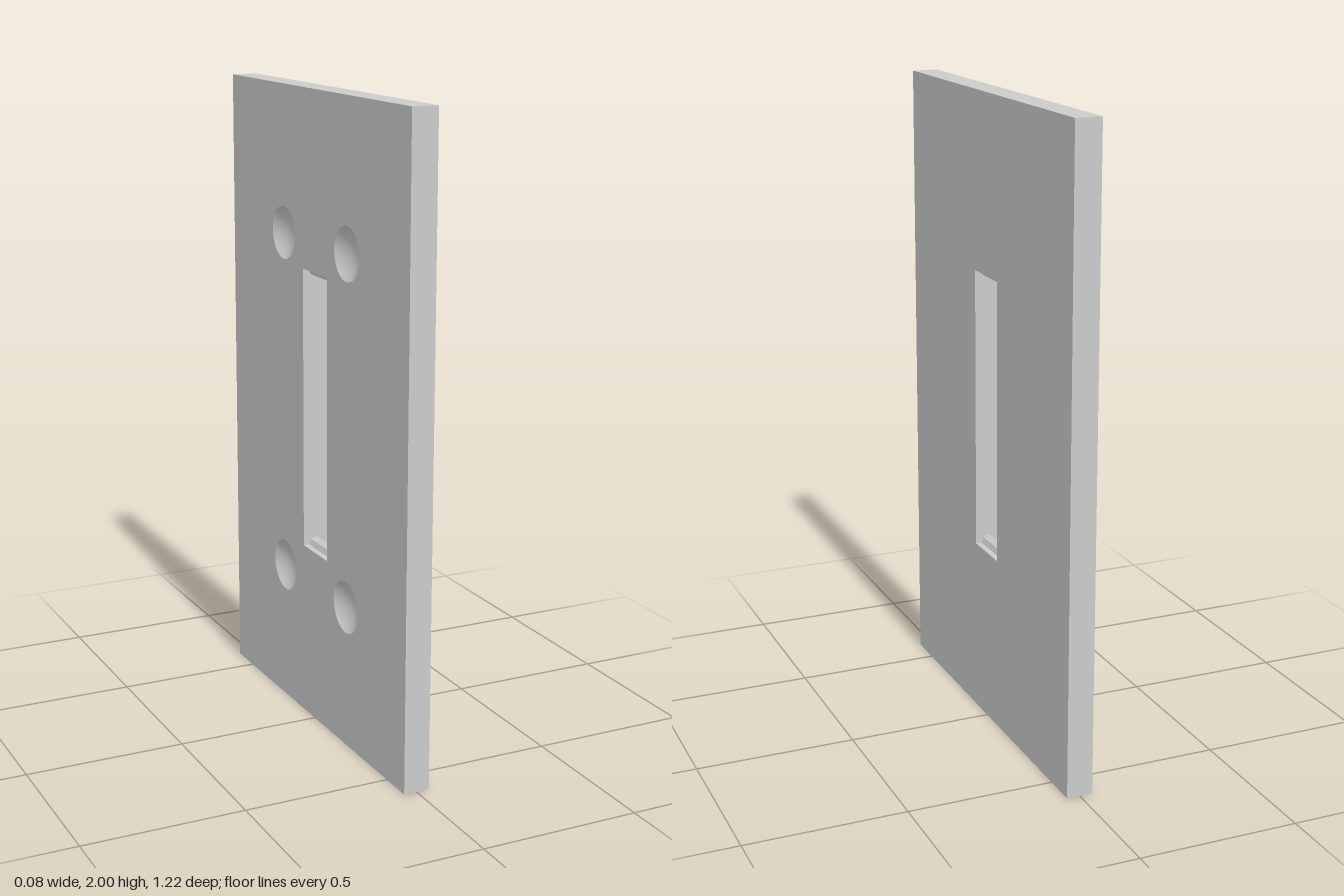
import * as THREE from 'three';

const T = 0.041, W = 0.61, H = 2;           // half thickness, half width, height
const SLOT = { u0: -0.09, u1: 0.08, v0: 0.56, v1: 1.45 };
const DIMPLE = { u: 0.22, v: [0.452, 1.542], r: 0.083, depth: 0.03 };

const rect = (u0, v0, u1, v1) => [[u0, v0], [u1, v0], [u1, v1], [u0, v1]];
const toPoints = (r) => r.map(([u, v]) => new THREE.Vector2(u, v));

// Flat-shaded wall through a row of rectangles, each { w, r }, along the thickness
function rectWall(sections, inward) {
  const pos = [];
  for (let s = 0; s < sections.length - 1; s++) {
    const a = sections[s], b = sections[s + 1];
    for (let i = 0; i < 4; i++) {
      const j = (i + 1) % 4;
      const A = [...a.r[i], a.w], B = [...a.r[j], a.w], C = [...b.r[j], b.w], D = [...b.r[i], b.w];
      for (const p of inward ? [A, C, B, A, D, C] : [A, B, C, A, C, D]) pos.push(...p);
    }
  }
  const g = new THREE.BufferGeometry();
  g.setAttribute('position', new THREE.Float32BufferAttribute(pos, 3));
  g.computeVertexNormals();
  return g;
}

// Plate face with the slot, and optionally the round recess openings
function faceGeometry(flip, withDimples) {
  const shape = new THREE.Shape(toPoints(rect(-W, 0, W, H)));
  const [u0, u1] = flip ? [-SLOT.u1, -SLOT.u0] : [SLOT.u0, SLOT.u1];
  shape.holes.push(new THREE.Path(toPoints(rect(u0, SLOT.v0, u1, SLOT.v1))));
  if (withDimples) {
    for (const v of DIMPLE.v) for (const s of [-1, 1]) {
      shape.holes.push(new THREE.Path().absarc(s * DIMPLE.u, v, DIMPLE.r, 0, Math.PI * 2, true));
    }
  }
  return new THREE.ShapeGeometry(shape, 20);
}

export function createModel() {
  const mat = new THREE.MeshStandardMaterial({ color: 0xcccccc });
  const open = new THREE.MeshStandardMaterial({ color: 0xcccccc, side: THREE.DoubleSide });
  const plate = new THREE.Group();
  plate.name = 'wallPlate';
  const add = (name, geo, m = mat) => {
    const mesh = new THREE.Mesh(geo, m);
    mesh.name = name;
    plate.add(mesh);
    return mesh;
  };

  // Two broad faces
  add('plainFace', faceGeometry(false, false)).position.z = T;
  const back = add('recessedFace', faceGeometry(true, true));
  back.rotation.y = Math.PI;
  back.position.z = -T;

  // Outer edge
  const outer = rect(-W, 0, W, H);
  add('outerEdge', rectWall([{ w: -T, r: outer }, { w: T, r: outer }], false));

  // Slot wall, with a rounded ridge across its top and bottom ends
  const ridge = [[-T, 0], [-0.022, 0], [-0.015, 0.017], [0, 0.025], [0.015, 0.017], [0.022, 0], [T, 0]];
  add('slotWall', rectWall(ridge.map(([w, h]) => (
    { w, r: rect(SLOT.u0, SLOT.v0 + h, SLOT.u1, SLOT.v1 - h) })), true), open);

  // Four shallow round recesses
  const { r, depth } = DIMPLE;
  const R = (r * r + depth * depth) / (2 * depth);
  const profile = [];
  for (let i = 0; i <= 8; i++) {
    const x = r * i / 8;
    profile.push(new THREE.Vector2(x, Math.sqrt(R * R - x * x) - (R - depth)));
  }
  const bowl = new THREE.LatheGeometry(profile, 40).rotateX(Math.PI / 2);
  for (const v of DIMPLE.v) for (const s of [-1, 1]) {
    add('roundRecess', bowl, open).position.set(s * DIMPLE.u, v, -T);
  }

  // Turn the plate so that its faces look along x
  plate.rotation.y = Math.PI / 2;
  const group = new THREE.Group();
  group.add(plate);
  return group;
}
